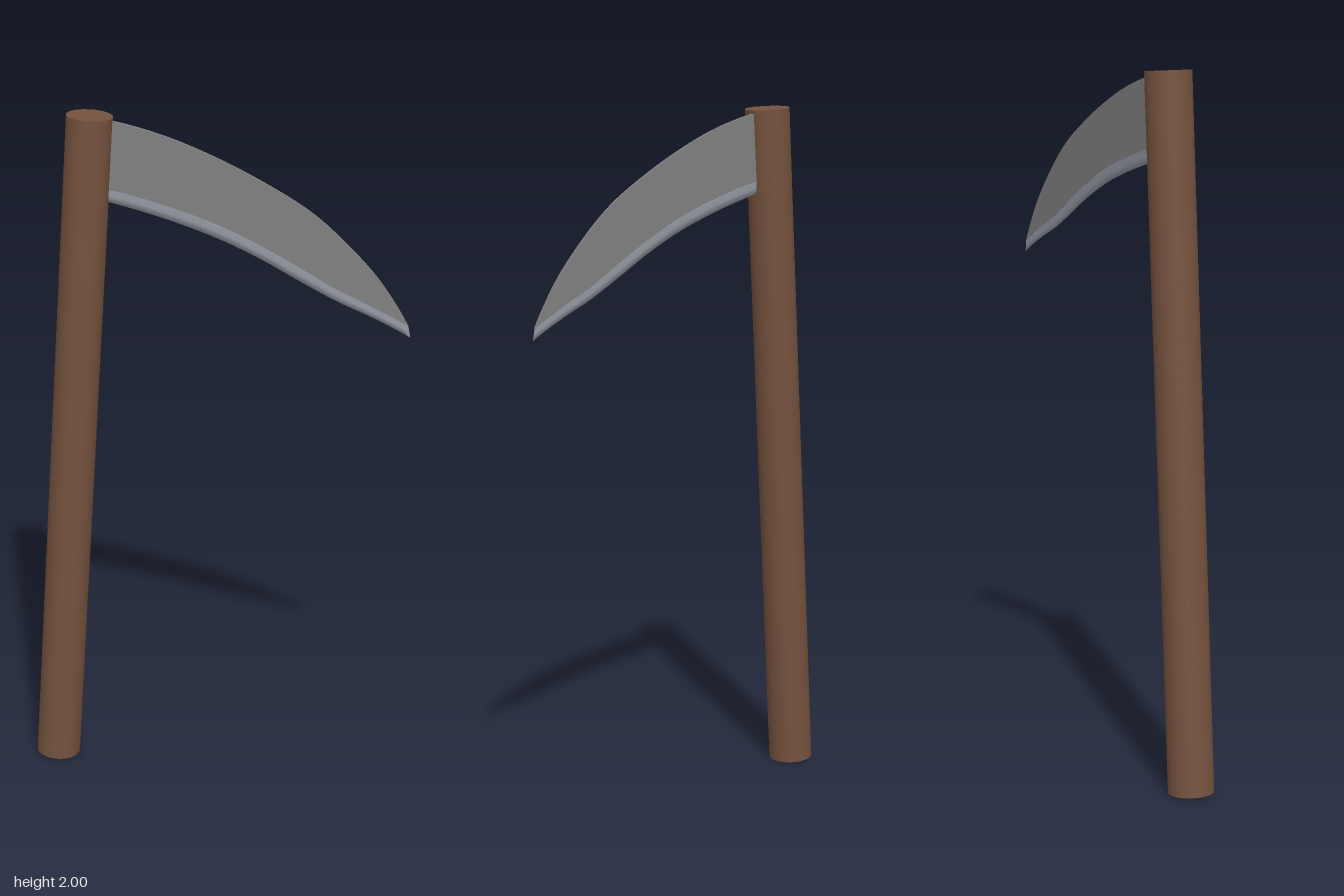
import * as THREE from 'three';

const wood = new THREE.MeshStandardMaterial({ name: 'brown wood', color: 0x75523e });
const steel = new THREE.MeshStandardMaterial({ name: 'grey steel', color: 0x828282 });
const honed = new THREE.MeshStandardMaterial({ name: 'honed steel', color: 0x9a9fa8 });

const BLADE_Z = -0.011;
const STATIONS = 32;

// Smooth curve through [x, y] points, sampled at even parameters
function sample(points) {
  const curve = new THREE.CatmullRomCurve3(points.map(([x, y]) => new THREE.Vector3(x, y, BLADE_Z)));
  return Array.from({ length: STATIONS + 1 }, (_, i) => curve.getPoint(i / STATIONS));
}

// Skin a list of cross-sections running from the handle to the tip
function loft(rings, closed) {
  const n = rings[0].length;
  const index = [];
  for (let i = 0; i < rings.length - 1; i++) {
    for (let k = 0; k < (closed ? n : n - 1); k++) {
      const a = i * n + k, b = i * n + (k + 1) % n;
      index.push(a, b, b + n, a, b + n, a + n);
    }
  }
  const geometry = new THREE.BufferGeometry().setFromPoints(rings.flat());
  geometry.setIndex(index);
  return geometry;
}

export function createModel() {
  const model = new THREE.Group();
  model.name = 'sickle';

  // Handle: a round pole leaning slightly towards the blade
  const bottom = new THREE.Vector3(-0.489, 0.005, 0.004);
  const top = new THREE.Vector3(-0.355, 1.996, -0.007);
  const axis = top.clone().sub(bottom);
  const handle = new THREE.Mesh(new THREE.CylinderGeometry(0.065, 0.065, axis.length(), 32), wood);
  handle.name = 'handle';
  handle.position.copy(bottom).add(top).multiplyScalar(0.5);
  handle.quaternion.setFromUnitVectors(new THREE.Vector3(0, 1, 0), axis.normalize());
  model.add(handle);

  // Outlines of the blade: spine, start of the bevel, cutting edge
  const spine = sample([[-0.36, 1.99], [-0.28, 1.98], [-0.14, 1.945], [0, 1.892], [0.14, 1.825],
    [0.27, 1.748], [0.38, 1.652], [0.46, 1.565], [0.515, 1.485], [0.543, 1.437]]);
  const bevel = sample([[-0.36, 1.79], [-0.28, 1.782], [-0.14, 1.748], [0, 1.703], [0.13, 1.645],
    [0.24, 1.587], [0.34, 1.532], [0.43, 1.492], [0.5, 1.458], [0.543, 1.436]]);
  const edge = sample([[-0.36, 1.76], [-0.28, 1.744], [-0.14, 1.708], [0, 1.662], [0.13, 1.605],
    [0.24, 1.547], [0.34, 1.497], [0.43, 1.46], [0.5, 1.428], [0.549, 1.403]]);

  const half = i => 0.0045 - 0.0033 * i / STATIONS;
  const shift = (p, z) => new THREE.Vector3(p.x, p.y, p.z + z);

  // Flat body of the blade, thinning towards the tip
  const bodyRings = spine.map((s, i) => {
    const h = half(i);
    return [shift(s, h), shift(bevel[i], h), shift(bevel[i], -h), shift(s, -h)];
  });
  const bodyGeometry = loft(bodyRings, true).toNonIndexed();
  bodyGeometry.computeVertexNormals();
  const body = new THREE.Mesh(bodyGeometry, steel);
  body.name = 'bladeBody';

  // Rounded bevel closing to the cutting edge
  const edgeRings = edge.map((e, i) => {
    const h = half(i);
    const middle = bevel[i].clone().lerp(e, 0.5);
    return [shift(bevel[i], h), shift(middle, h * 0.8), e, shift(middle, -h * 0.8), shift(bevel[i], -h)];
  });
  const edgeGeometry = loft(edgeRings, false);
  edgeGeometry.computeVertexNormals();
  const cuttingEdge = new THREE.Mesh(edgeGeometry, honed);
  cuttingEdge.name = 'cuttingEdge';

  const blade = new THREE.Group();
  blade.name = 'blade';
  blade.add(body, cuttingEdge);
  model.add(blade);
  return model;
}
